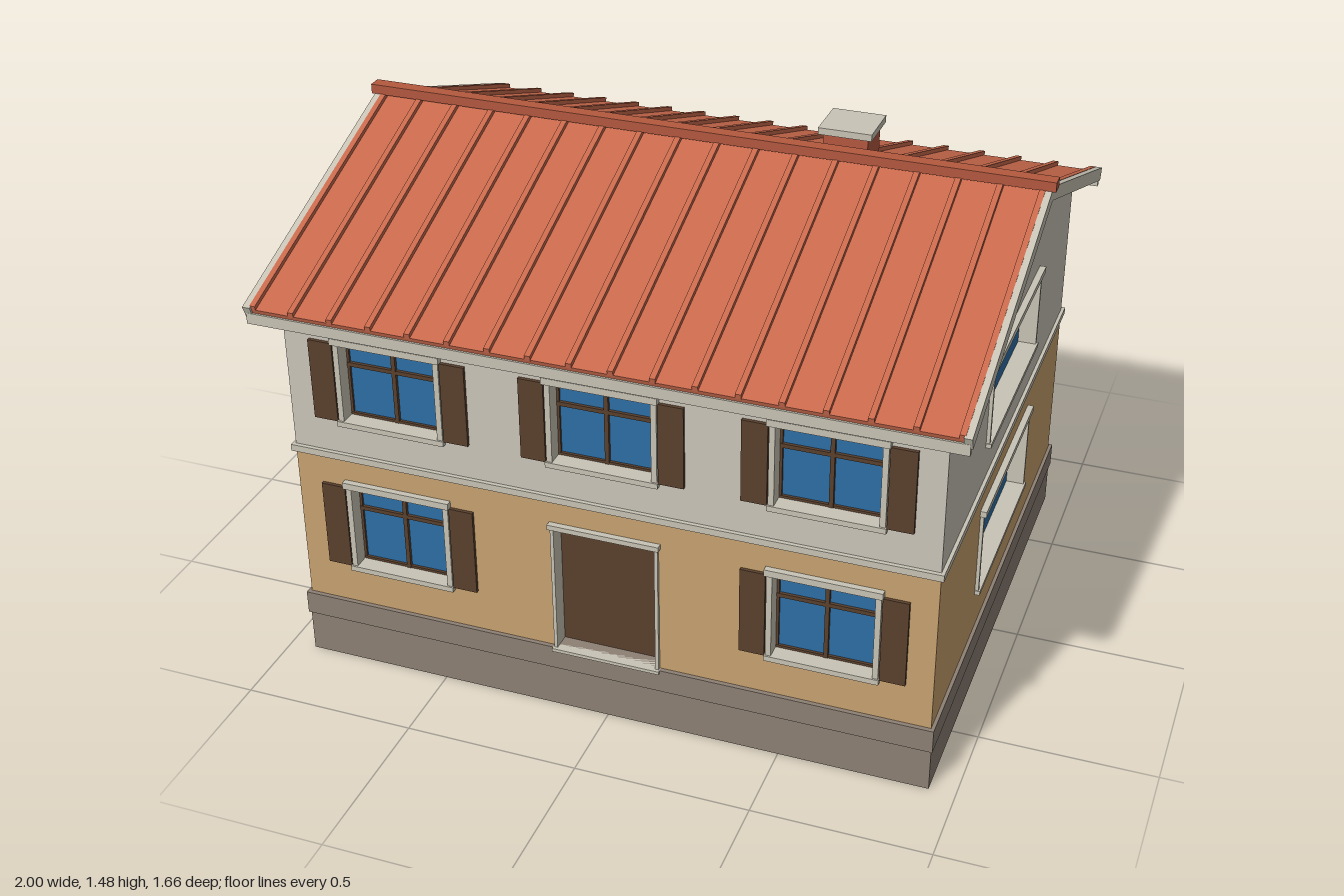
import * as THREE from 'three';

const mat = (name, color) => {
  const m = new THREE.MeshStandardMaterial({ color });
  m.name = name;
  return m;
};

export function createModel() {
  const house = new THREE.Group();
  house.name = 'house';

  const plaster = mat('pale plaster', 0xcac5ba);
  const ochre = mat('ochre plaster', 0xc8a26f);
  const trim = mat('stone trim', 0xc8c3b5);
  const stone = mat('plinth stone', 0x8d8074);
  const tile = mat('roof red', 0xc8694c);
  const brick = mat('brick red', 0xb4593f);
  const blue = mat('window blue', 0x2d6ea5);
  const wood = mat('dark wood', 0x5a402c);

  const add = (parent, name, geometry, material) => {
    const mesh = new THREE.Mesh(geometry, material);
    mesh.name = name;
    parent.add(mesh);
    return mesh;
  };
  // Box given by its lower and upper limits on each axis
  const box = (parent, name, material, x0, x1, y0, y1, z0, z1) => {
    const g = new THREE.BoxGeometry(x1 - x0, y1 - y0, z1 - z0);
    g.translate((x0 + x1) / 2, (y0 + y1) / 2, (z0 + z1) / 2);
    return add(parent, name, g, material);
  };
  const polygon = (pts) => new THREE.Shape(pts.map(([x, y]) => new THREE.Vector2(x, y)));

  // Wall sheet with openings; its outer face lies on local z = 0
  const DEPTH = 0.05;
  const wall = (parent, name, material, outline, openings) => {
    const shape = polygon(outline);
    for (const o of openings) {
      const w = o.w / 2 + o.frame;
      const y0 = o.y0 - o.bottom, y1 = o.y1 + o.head;
      shape.holes.push(new THREE.Path([[-w, y0], [-w, y1], [w, y1], [w, y0]]
        .map(([x, y]) => new THREE.Vector2(o.x + x, y))));
    }
    const g = new THREE.ExtrudeGeometry(shape, { depth: DEPTH, bevelEnabled: false });
    g.translate(0, 0, -DEPTH);
    add(parent, name, g, material);
    openings.forEach((o) => fillOpening(parent, o));
  };

  // Recessed pane or door leaf, with its surround, glazing bars and shutters
  const fillOpening = (parent, o) => {
    const g = new THREE.Group();
    g.name = o.door ? 'door' : 'window';
    g.position.x = o.x;
    parent.add(g);
    const w = o.w / 2, f = w + o.frame, back = -DEPTH;
    box(g, o.door ? 'doorLeaf' : 'glass', o.door ? wood : blue, -w, w, o.y0, o.y1, back, back + 0.008);
    for (const s of [-1, 1]) {
      box(g, 'jamb', trim, Math.min(s * w, s * f), Math.max(s * w, s * f), o.y0, o.y1, back, 0.01);
    }
    box(g, 'head', trim, -f - 0.005, f + 0.005, o.y1, o.y1 + o.head, back, 0.018);
    box(g, o.door ? 'threshold' : 'sill', trim, -f - 0.003, f + 0.003, o.y0 - o.bottom, o.y0, back, o.door ? 0.02 : 0.015);
    if (!o.shutters) return;
    const z0 = back + 0.008, z1 = back + 0.018, t = 0.007;
    const transom = o.y0 + (o.y1 - o.y0) * 0.66;
    box(g, 'mullion', wood, -0.006, 0.006, o.y0, o.y1, z0, z1);
    box(g, 'transom', wood, -w, w, transom - 0.006, transom + 0.006, z0, z1 - 0.001);
    box(g, 'sashBottom', wood, -w, w, o.y0, o.y0 + t, z0, z1 - 0.002);
    box(g, 'sashTop', wood, -w, w, o.y1 - t, o.y1, z0, z1 - 0.002);
    for (const s of [-1, 1]) {
      const a = s * w, b = s * (w - t);
      box(g, 'sashSide', wood, Math.min(a, b), Math.max(a, b), o.y0, o.y1, z0, z1 - 0.003);
      const c = s * (w + 0.019), d = s * (w + 0.09);
      box(g, 'shutter', wood, Math.min(c, d), Math.max(c, d), o.y0 - 0.003, o.y1, 0, 0.01);
    }
  };

  const shuttered = (x, y0, y1) => ({ x, y0, y1, w: 0.28, frame: 0.016, head: 0.02, bottom: 0.016, shutters: true });
  const wide = (w, y0, y1) => ({ x: 0, y0, y1, w, frame: 0.011, head: 0.018, bottom: 0.013 });
  const door = { x: 0, y0: 0.2, y1: 0.595, w: 0.29, frame: 0.01, head: 0.015, bottom: 0.01, door: true };

  const side = (name, x, z, turn) => {
    const g = new THREE.Group();
    g.name = name;
    g.position.set(x, 0, z);
    g.rotation.y = turn;
    house.add(g);
    return g;
  };
  const rect = (w, y0, y1) => [[-w, y0], [w, y0], [w, y1], [-w, y1]];

  // Front and back walls
  const front = side('frontSide', 0, 0.75, 0);
  wall(front, 'lowerWall', ochre, rect(0.87, 0.15, 0.69),
    [shuttered(-0.615, 0.33, 0.59), door, shuttered(0.615, 0.33, 0.59)]);
  wall(front, 'upperWall', plaster, rect(0.87, 0.69, 1.15),
    [-0.615, 0, 0.615].map((x) => shuttered(x, 0.808, 1.047)));
  const rear = side('backSide', 0, -0.75, Math.PI);
  wall(rear, 'lowerWall', ochre, rect(0.87, 0.15, 0.69), [wide(0.69, 0.34, 0.587)]);
  wall(rear, 'upperWall', plaster, rect(0.87, 0.69, 1.15), [wide(0.69, 0.82, 1.047)]);

  // Gable walls
  for (const s of [-1, 1]) {
    const gable = side(s > 0 ? 'leftSide' : 'rightSide', s * 0.92, 0, s * Math.PI / 2);
    wall(gable, 'lowerWall', ochre, rect(0.75, 0.15, 0.69), [wide(0.57, 0.34, 0.587)]);
    wall(gable, 'gableWall', plaster,
      [[-0.75, 0.69], [0.75, 0.69], [0.75, 1.15], [0, 1.422], [-0.75, 1.15]], [wide(0.57, 0.82, 1.047)]);
  }

  // Plinth and floor band
  box(house, 'plinth', stone, -0.925, 0.925, 0, 0.13, -0.756, 0.756);
  box(house, 'plinthCap', stone, -0.93, 0.93, 0.13, 0.2, -0.763, 0.763);
  box(house, 'floorBand', trim, -0.93, 0.93, 0.68, 0.7, -0.762, 0.762);

  // Roof pieces: a chevron section run along x
  const SLOPE = 0.362;
  const chevron = (name, material, x0, x1, top, bottom, outTop, outBottom) => {
    const shape = polygon([
      [0, top], [-outTop, top - SLOPE * outTop], [-outBottom, bottom - SLOPE * outBottom],
      [0, bottom], [outBottom, bottom - SLOPE * outBottom], [outTop, top - SLOPE * outTop],
    ]);
    const g = new THREE.ExtrudeGeometry(shape, { depth: x1 - x0, bevelEnabled: false });
    g.rotateY(Math.PI / 2);
    g.translate(x0, 0, 0);
    add(house, name, g, material);
  };
  chevron('roof', tile, -0.968, 0.968, 1.443, 1.416, 0.82, 0.812);
  const RIBS = 18;
  for (let i = 0; i < RIBS; i++) {
    const x = -0.964 + (1.928 * i) / (RIBS - 1);
    chevron('roofRib', tile, x - 0.008, x + 0.008, 1.456, 1.44, 0.823, 0.82);
  }
  chevron('bargeBoard', trim, -0.99, -0.968, 1.455, 1.414, 0.83, 0.815);
  chevron('bargeBoard', trim, 0.968, 0.99, 1.455, 1.414, 0.83, 0.815);
  box(house, 'frontFascia', trim, -0.985, 0.985, 1.102, 1.134, 0.806, 0.822);
  box(house, 'backFascia', trim, -0.985, 0.985, 1.102, 1.134, -0.822, -0.806);
  box(house, 'ridgeCap', brick, -1, 1, 1.447, 1.475, -0.02, 0.02);

  // Chimney
  box(house, 'chimney', brick, 0.313, 0.442, 1.3, 1.446, -0.272, -0.146);
  box(house, 'chimneyCap', trim, 0.3, 0.455, 1.446, 1.466, -0.284, -0.136);

  return house;
}
